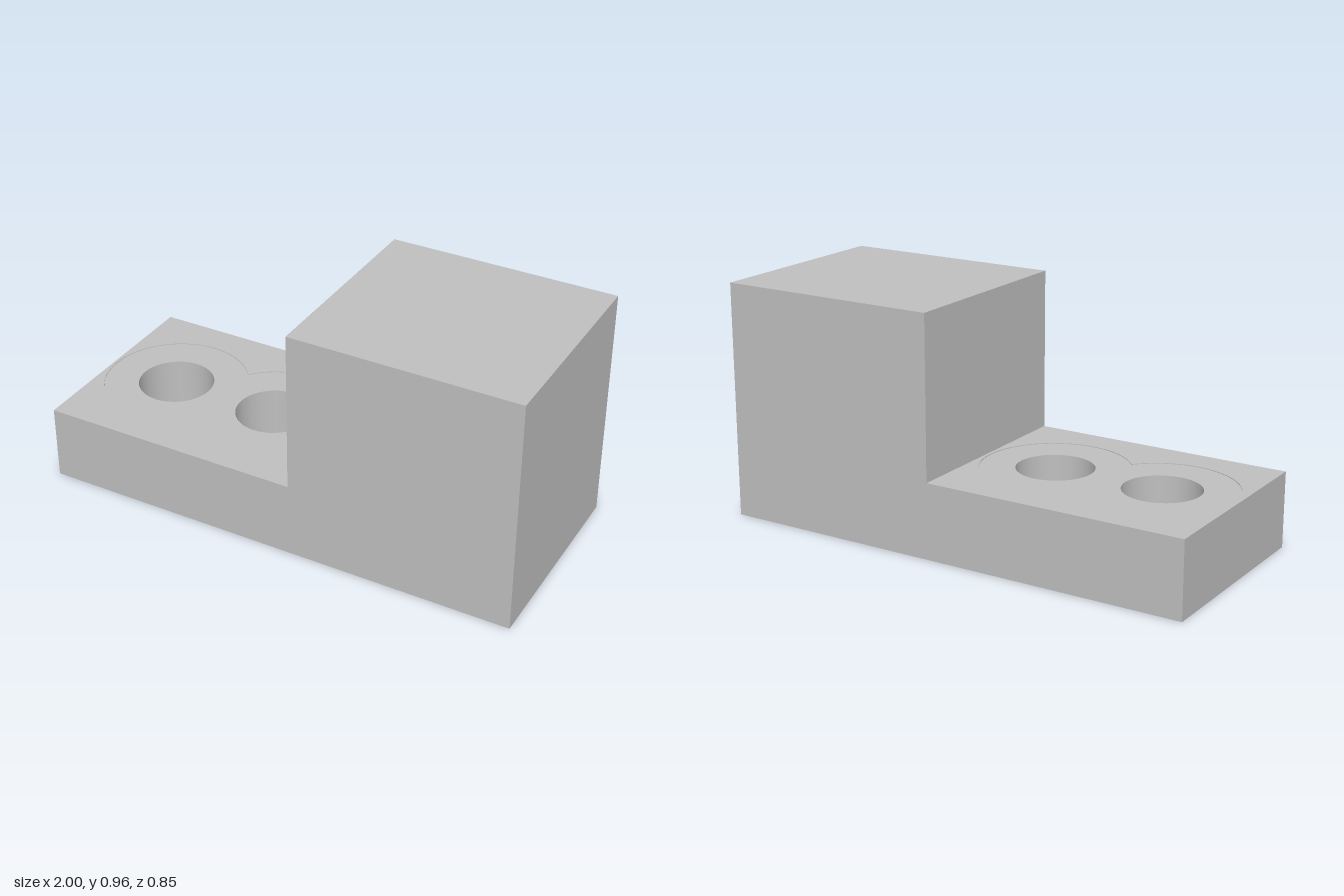
import * as THREE from 'three';

const U = 1 / 13; // design unit
const LEFT = -1, STEP = U, HALF_Z = 5.5 * U;
const LEDGE = 4 * U, TOP = 12.5 * U;
const HOLE_X = [-9 * U, -3 * U], HOLE_R = 2 * U;
const RECESS_R = 0.295, RECESS_D = 0.003;

// Outline of the low ledge, seen from above
function ledgeShape() {
  const s = new THREE.Shape();
  s.moveTo(LEFT, -HALF_Z);
  s.lineTo(STEP, -HALF_Z);
  s.lineTo(STEP, HALF_Z);
  s.lineTo(LEFT, HALF_Z);
  s.closePath();
  return s;
}

// Extrude a plan shape upward from height y
function slab(shape, y, height) {
  const g = new THREE.ExtrudeGeometry(shape, { depth: height, bevelEnabled: false, curveSegments: 64 });
  return g.rotateX(-Math.PI / 2).translate(0, y, 0);
}

export function createModel() {
  const group = new THREE.Group();
  const grey = new THREE.MeshStandardMaterial({ color: 0xbfbfbf });
  grey.name = 'grey';
  const add = (name, geometry) => {
    const mesh = new THREE.Mesh(geometry, grey);
    mesh.name = name;
    group.add(mesh);
  };

  // Ledge with two through holes
  const plate = ledgeShape();
  for (const x of HOLE_X) {
    plate.holes.push(new THREE.Path().absarc(x, 0, HOLE_R, 0, Math.PI * 2, true));
  }
  add('ledge', slab(plate, 0, LEDGE - RECESS_D));

  // Thin top skin leaving two overlapping shallow round recesses
  const skin = ledgeShape();
  const a = Math.acos((HOLE_X[1] - HOLE_X[0]) / 2 / RECESS_R);
  const recess = new THREE.Path();
  recess.absarc(HOLE_X[0], 0, RECESS_R, a, Math.PI * 2 - a, false);
  recess.absarc(HOLE_X[1], 0, RECESS_R, Math.PI + a, Math.PI * 3 - a, false);
  skin.holes.push(recess);
  add('recessRim', slab(skin, LEDGE - RECESS_D, RECESS_D));

  // Tall block
  const block = new THREE.BoxGeometry(1 - STEP, TOP, HALF_Z * 2);
  add('block', block.translate((1 + STEP) / 2, TOP / 2, 0));

  return group;
}
